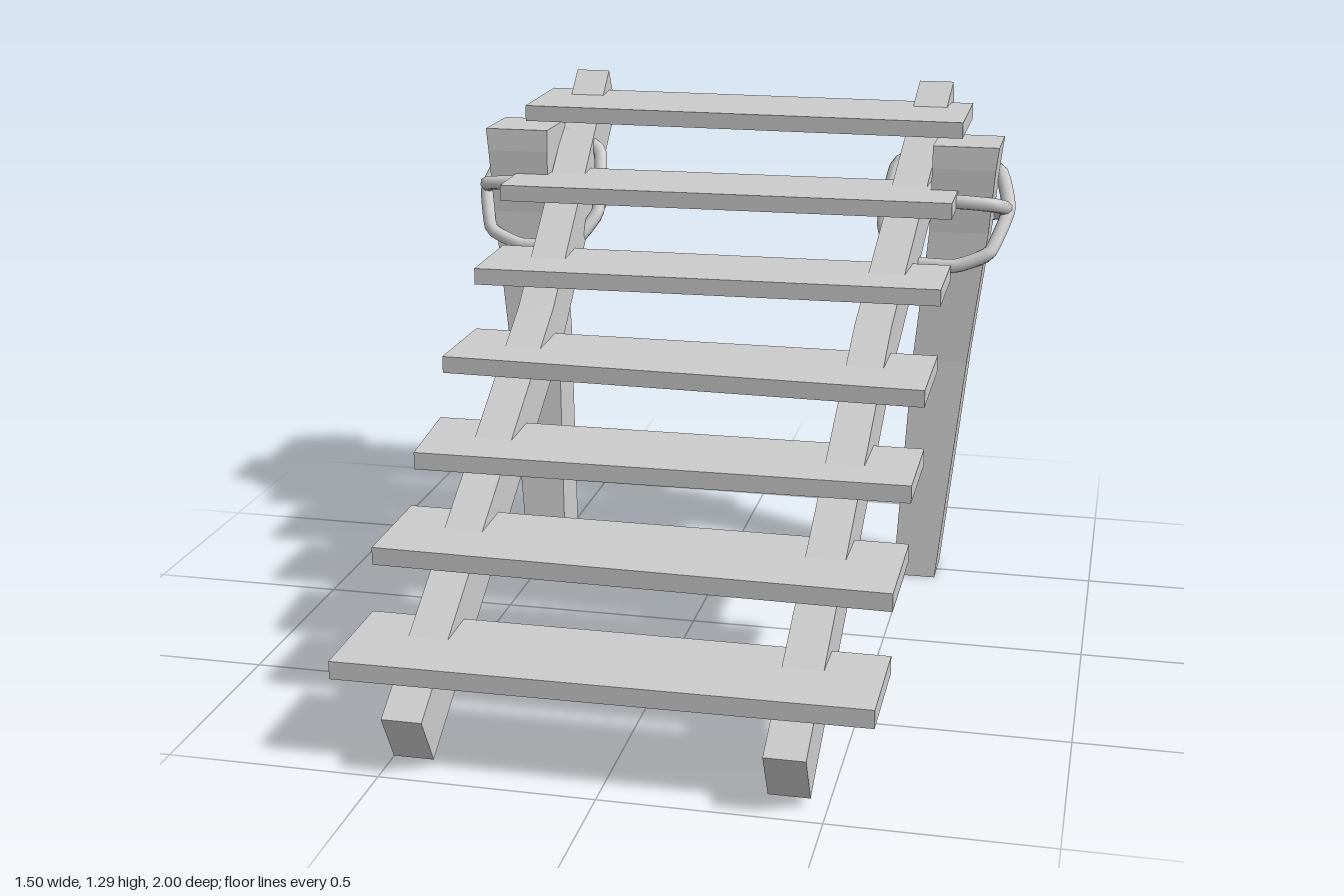
import * as THREE from 'three';

const material = new THREE.MeshStandardMaterial({ color: 0xcccccc, flatShading: true });
const ropeMaterial = new THREE.MeshStandardMaterial({ color: 0xcccccc });

// Skins a row of four-cornered sections into a closed beam.
// Corners run counter-clockwise seen from the last section.
function beam(name, sections) {
  const pos = [];
  const quad = (a, b, c, d) => [a, b, c, a, c, d].forEach((p) => pos.push(...p));
  for (let s = 0; s < sections.length - 1; s++) {
    const a = sections[s], b = sections[s + 1];
    for (let i = 0; i < 4; i++) {
      const j = (i + 1) % 4;
      quad(a[i], a[j], b[j], b[i]);
    }
  }
  quad(...[...sections[0]].reverse());
  quad(...sections[sections.length - 1]);
  const geo = new THREE.BufferGeometry();
  geo.setAttribute('position', new THREE.Float32BufferAttribute(pos, 3));
  geo.computeVertexNormals();
  const mesh = new THREE.Mesh(geo, material);
  mesh.name = name;
  return mesh;
}

// Plank: underside height, front z and back z at its right and left ends,
// then the x of the front and back corners of the right end
function plank(index, [yR, frontR, backR, yL, frontL, backL, xFront, xBack]) {
  const t = 0.043, tilt = 0.005;
  const end = (xf, xb, y, f, b) => [
    [xf, y, f], [xb, y + tilt, b], [xb, y + tilt + t, b], [xf, y + t, f],
  ];
  return beam('plank' + index, [
    end(xFront, xBack, yR, frontR, backR),
    end(0.6, 0.6, yL, frontL, backL),
  ]);
}

// Stringer: slightly bent rail running from the back top down to the front; xs are its centres
function stringer(name, xs) {
  const centres = [[1.23, -0.963], [0.73, -0.17], [0.08, 0.965]];
  const w = 0.047, dy = 0.061, dz = 0.035;
  return beam(name, centres.map(([y, z], i) => {
    const x = xs[i];
    return [
      [x - w, y - dy, z - dz], [x + w, y - dy, z - dz],
      [x + w, y + dy, z + dz], [x - w, y + dy, z + dz],
    ];
  }));
}

// Post: widens and leans outwards and backwards; rows are y, inner x, outer x, front z, back z
function post(name, side) {
  const rows = [
    [0, 0.47, 0.583, -0.435, -0.575],
    [0.6, 0.497, 0.643, -0.508, -0.64],
    [0.95, 0.528, 0.685, -0.535, -0.68],
    [1.12, 0.53, 0.698, -0.535, -0.725],
    [1.18, 0.53, 0.705, -0.54, -0.725],
  ];
  return beam(name, rows.map(([y, xi, xo, f, b]) => {
    const [l, r] = side > 0 ? [xi, xo] : [-xo, -xi];
    return [[l, y, f], [r, y, f], [r, y, b], [l, y, b]];
  }));
}

// Rope: closed loop lashed around a post and a stringer
function rope(name, side, points) {
  const path = new THREE.CatmullRomCurve3(
    points.map(([x, y, z]) => new THREE.Vector3(x * side, y, z)), true, 'catmullrom', 0.2);
  const mesh = new THREE.Mesh(new THREE.TubeGeometry(path, 64, 0.019, 8, true), ropeMaterial);
  mesh.name = name;
  return mesh;
}

export function createModel() {
  const group = new THREE.Group();
  group.name = 'plankStairs';

  // Steps from bottom to top
  [
    [0.207, 0.96, 0.68, 0.213, 0.96, 0.69, -0.62, -0.62],
    [0.367, 0.67, 0.395, 0.367, 0.69, 0.395, -0.62, -0.62],
    [0.513, 0.405, 0.14, 0.51, 0.38, 0.12, -0.605, -0.627],
    [0.67, 0.11, -0.145, 0.672, 0.15, -0.14, -0.627, -0.62],
    [0.838, -0.145, -0.40, 0.842, -0.165, -0.41, -0.62, -0.62],
    [1.012, -0.385, -0.64, 1.017, -0.385, -0.64, -0.62, -0.62],
    [1.187, -0.64, -0.93, 1.187, -0.62, -0.915, -0.62, -0.62],
  ].forEach((p, i) => group.add(plank(i + 1, p)));

  // Rails under the steps
  group.add(stringer('rightStringer', [-0.5, -0.45, -0.44]));
  group.add(stringer('leftStringer', [0.495, 0.435, 0.415]));

  // Back posts with crossed lashings
  for (const [label, side] of [['left', 1], ['right', -1]]) {
    group.add(post(label + 'Post', side));
    group.add(rope(label + 'RisingRope', side, [
      [0.6, 0.865, -0.505], [0.69, 0.9, -0.525], [0.73, 1.0, -0.62],
      [0.695, 1.09, -0.712], [0.53, 1.145, -0.728], [0.42, 1.1, -0.69],
      [0.4, 0.95, -0.58], [0.46, 0.87, -0.515],
    ]));
    group.add(rope(label + 'LevelRope', side, [
      [0.61, 1.038, -0.51], [0.7, 1.03, -0.525], [0.725, 1.0, -0.63],
      [0.69, 0.97, -0.71], [0.53, 0.955, -0.715], [0.42, 0.95, -0.68],
      [0.41, 1.0, -0.58], [0.46, 1.03, -0.515],
    ]));
  }
  return group;
}
